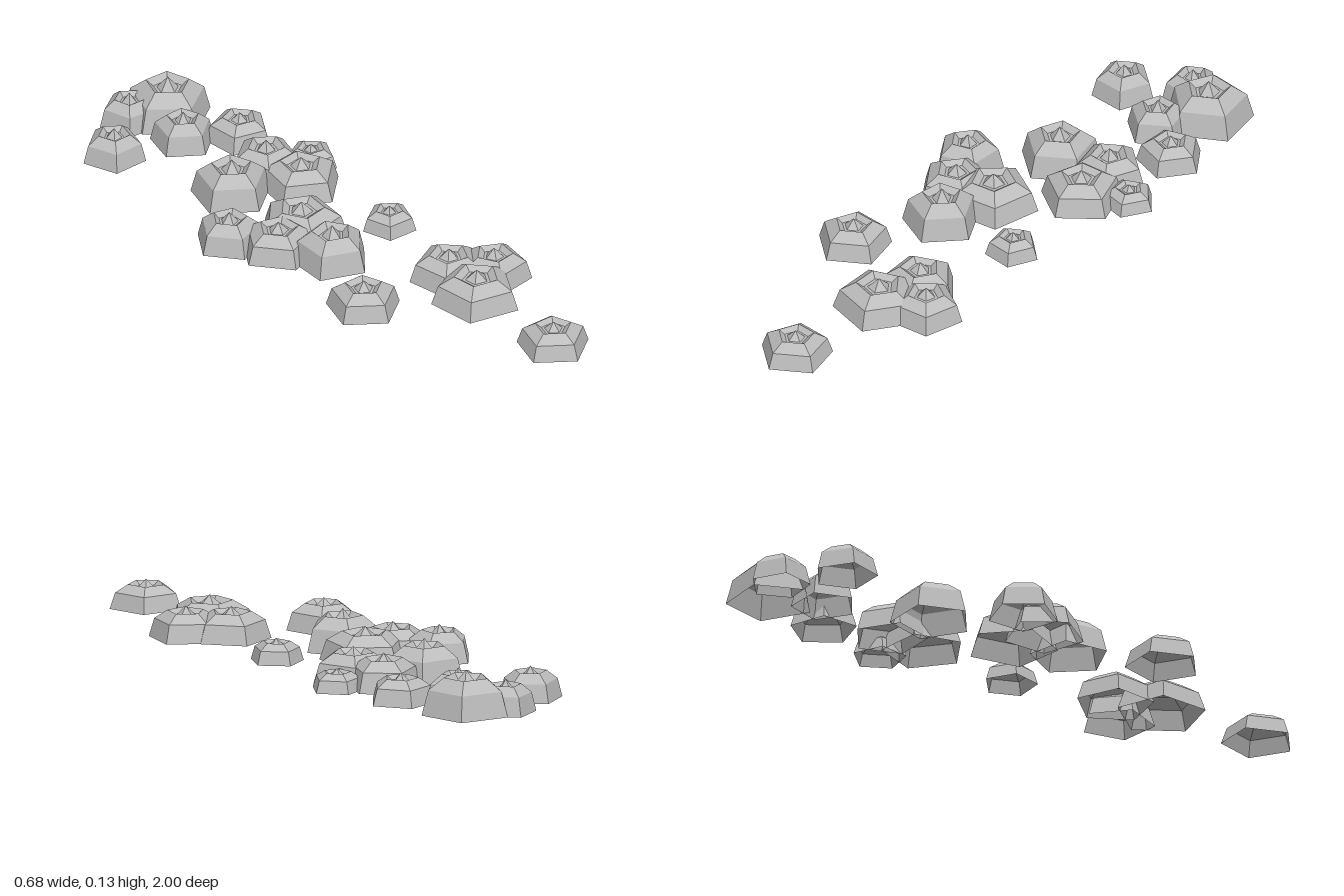
import * as THREE from 'three';

// x, z, base radius, rim height, rotation of one corner (degrees, from +x towards +z)
const BARNACLES = [
  [0.01, -0.908, 0.092, 0.085, -85],
  [0.12, -0.86, 0.135, 0.112, -50],
  [-0.158, -0.79, 0.098, 0.083, -89],
  [0.05, -0.715, 0.1, 0.088, 90],
  [0.19, -0.62, 0.103, 0.075, -2],
  [-0.047, -0.393, 0.125, 0.104, 19],
  [0.122, -0.428, 0.115, 0.09, -17],
  [0.137, -0.29, 0.127, 0.087, 13],
  [0.252, -0.373, 0.083, 0.055, -8],
  [-0.235, -0.195, 0.107, 0.09, -37],
  [-0.158, -0.063, 0.122, 0.085, 35],
  [-0.037, -0.095, 0.138, 0.09, -27],
  [-0.079, 0.085, 0.12, 0.104, 5],
  [0.18, 0.053, 0.083, 0.06, -14],
  [-0.19, 0.348, 0.115, 0.08, 20],
  [0.116, 0.387, 0.12, 0.083, -7],
  [0.22, 0.472, 0.113, 0.082, -25],
  [0.09, 0.538, 0.137, 0.087, -4],
  [0.08, 0.888, 0.112, 0.072, 20],
];

// Revolve a profile of [radius, height] fractions into five flat sides
function fiveSided(profile, r, h, degrees, material) {
  const points = profile.map(([pr, py]) => new THREE.Vector2(pr * r, py * h));
  const start = Math.PI / 2 - THREE.MathUtils.degToRad(degrees);
  return new THREE.Mesh(new THREE.LatheGeometry(points, 5, start), material);
}

// Open-bottomed wall, sloping shoulder, rim and sunken mouth
const SHELL = [[1, 0], [0.85, 0.68], [0.5, 1], [0.33, 0.84], [0.22, 0.84]];
// Pointed plate in the mouth
const BEAK = [[0.25, 0.84], [0, 1.19]];

export function createModel() {
  const model = new THREE.Group();
  model.name = 'barnacleCluster';
  const stone = new THREE.MeshStandardMaterial({
    name: 'shellGrey', color: 0xbcbcbc, flatShading: true, side: THREE.DoubleSide,
  });

  BARNACLES.forEach(([x, z, r, h, degrees], i) => {
    const barnacle = new THREE.Group();
    barnacle.name = `barnacle${i + 1}`;
    const shell = fiveSided(SHELL, r, h, degrees, stone);
    shell.name = 'shell';
    const beak = fiveSided(BEAK, r, h, degrees, stone);
    beak.name = 'beak';
    barnacle.add(shell, beak);
    barnacle.position.set(x, 0, z);
    model.add(barnacle);
  });
  return model;
}
